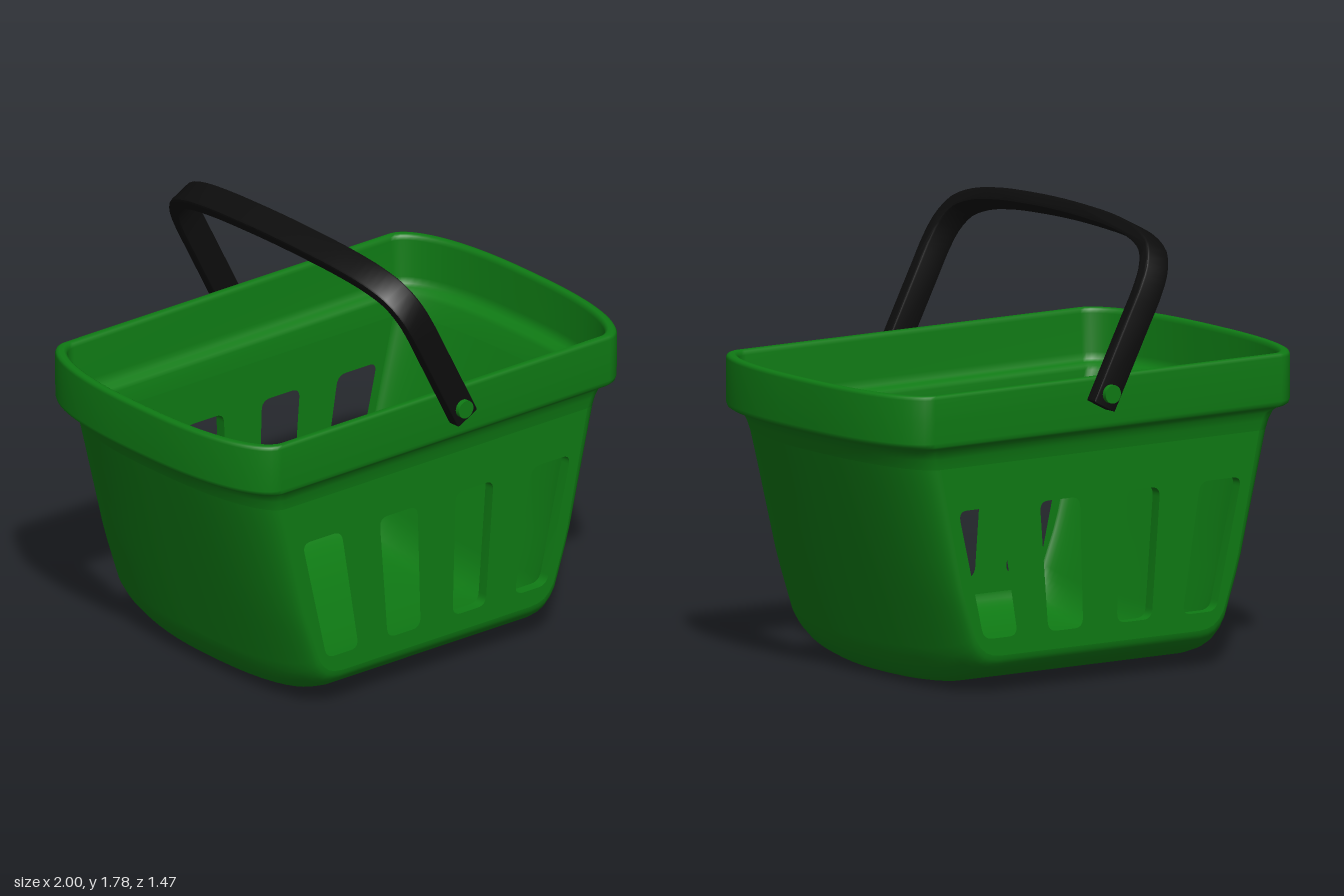
import * as THREE from 'three';
import { toCreasedNormals } from 'three/addons/utils/BufferGeometryUtils.js';

const green = new THREE.MeshStandardMaterial({ color: 0x0f7a14 });
const black = new THREE.MeshStandardMaterial({ color: 0x0d0d0d });

const HZ = 0.6, INNER_Z = 0.555, WALL = 0.04, INNER_BOW = 0.75, ARC = 28;

function mesh(name, geometry, material) {
  const m = new THREE.Mesh(geometry, material);
  m.name = name;
  return m;
}

// Smooth surface through rows of points; 'closed' joins each row's ends
function loft(rows, closed, flip) {
  const n = rows[0].length, index = [];
  for (let i = 0; i < rows.length - 1; i++) {
    for (let j = 0; j < (closed ? n : n - 1); j++) {
      const k = (j + 1) % n;
      const a = i * n + j, b = a + n, c = i * n + k, d = c + n;
      if (flip) index.push(a, c, b, b, c, d);
      else index.push(a, b, c, b, d, c);
    }
  }
  const g = new THREE.BufferGeometry();
  g.setAttribute('position', new THREE.Float32BufferAttribute(rows.flat(2), 3));
  g.setIndex(index);
  g.computeVertexNormals();
  return g;
}

// Bowed wall: position across the depth (-1..1) and how far the wall is drawn in (0..1)
const bow = Array.from({ length: ARC + 1 }, (_, i) => {
  const t = (i / ARC - 0.5) * Math.PI;
  return { z: Math.sign(t) * Math.abs(Math.sin(t)) ** 0.8, f: 1 - Math.cos(t) };
});

// U-shaped section of the tub: right wall, floor, left wall
function section() {
  const half = [];
  for (let i = 0; i <= 8; i++) {
    const s = i / 8;
    half.push([0.903 - 0.243 * s, 0.9 - 0.75 * s]);
  }
  half.push([0.645, 0.105], [0.62, 0.06], [0.59, 0.025], [0.56, 0.008], [0.52, 0], [0.4, 0], [0.2, 0]);
  return [...half, [0, 0], ...half.map(([x, y]) => [-x, y]).reverse()];
}

// Draw a section point inward by the bow amount and the wall thickness
function drawIn([x, y], amount, wall) {
  const dx = (wall + (0.05 + 0.11 * y) * amount) * Math.min(1, Math.abs(x) / 0.52);
  const dy = (wall + 0.15 * amount) * Math.max(0, 1 - y / 0.4);
  return [x - Math.sign(x) * dx, y + dy];
}

function tubShell(hz, strength, wall, flip) {
  const rows = section().map(p => bow.map(({ z, f }) => [...drawIn(p, f * strength, wall), z * hz]));
  return loft(rows, false, flip);
}

// Rounded-corner polygon for the slots
function roundedPath(pts, r) {
  const path = new THREE.Path();
  const v = pts.map(p => new THREE.Vector2(...p));
  v.forEach((p, i) => {
    const prev = v[(i + v.length - 1) % v.length], next = v[(i + 1) % v.length];
    const a = p.clone().add(prev.clone().sub(p).setLength(r));
    const b = p.clone().add(next.clone().sub(p).setLength(r));
    if (i === 0) path.moveTo(a.x, a.y);
    else path.lineTo(a.x, a.y);
    path.quadraticCurveTo(p.x, p.y, b.x, b.y);
  });
  path.closePath();
  return path;
}

// Flat side panel with four slanted slots
function panelGeometry() {
  const shape = new THREE.Shape(section().map(p => new THREE.Vector2(...drawIn(p, 1, 0))));
  for (const s of [-1, 1]) {
    shape.holes.push(
      roundedPath([[s * 0.08, 0.22], [s * 0.245, 0.22], [s * 0.285, 0.73], [s * 0.095, 0.73]], 0.04),
      roundedPath([[s * 0.39, 0.22], [s * 0.55, 0.22], [s * 0.67, 0.73], [s * 0.475, 0.73]], 0.04)
    );
  }
  const g = new THREE.ExtrudeGeometry(shape, { depth: HZ - INNER_Z, bevelEnabled: false, curveSegments: 6 });
  return toCreasedNormals(g.translate(0, 0, INNER_Z), 0.6);
}

// Rim: rings of [height, half width, half depth, corner inset], up the outside and down the inside
function rimGeometry() {
  const levels = [
    [0.9, 0.903, 0.6, 0.149], [0.94, 0.918, 0.606, 0.155], [0.97, 0.936, 0.616, 0.165],
    [0.985, 0.957, 0.63, 0.175], [0.992, 0.985, 0.645, 0.18], [1.0, 0.996, 0.651, 0.18],
    [1.015, 1.0, 0.654, 0.18], [1.1, 1.0, 0.656, 0.18], [1.185, 1.0, 0.656, 0.18],
    [1.196, 0.996, 0.652, 0.18], [1.2, 0.988, 0.645, 0.18], [1.2, 0.974, 0.63, 0.175],
    [1.195, 0.966, 0.622, 0.172], [1.18, 0.962, 0.618, 0.17], [1.03, 0.957, 0.61, 0.165],
    [1.005, 0.95, 0.603, 0.16], [0.995, 0.935, 0.59, 0.15], [0.985, 0.905, 0.568, 0.13],
    [0.97, 0.89, 0.56, 0.12], [0.9, 0.863, INNER_Z, 0.149 * INNER_BOW]
  ];
  const rows = levels.map(([y, hx, hz, inset]) => {
    const side = bow.map(({ z, f }) => [hx - inset * f, y, z * hz]);
    return [...side, ...side.map(([x, , z]) => [-x, y, -z])];
  });
  return loft(rows, true, false);
}

// Flat band bent over the basket, drawn with the pivot at the origin
function handleGeometry() {
  const leg = [[0.688, 0.3], [0.687, 0.42], [0.672, 0.505], [0.625, 0.578], [0.53, 0.622], [0.38, 0.648], [0.19, 0.66]];
  const pts = [...leg, [0, 0.664], ...leg.map(([z, h]) => [-z, h]).reverse()];
  const curve = new THREE.CatmullRomCurve3(pts.map(([z, h]) => new THREE.Vector3(z, h, 0)));
  const N = 56, T = 0.027, outer = [], inner = [];
  for (let i = 0; i <= N; i++) {
    const p = curve.getPointAt(i / N), t = curve.getTangentAt(i / N);
    outer.push(new THREE.Vector2(p.x + t.y * T, p.y - t.x * T));
    inner.push(new THREE.Vector2(p.x - t.y * T, p.y + t.x * T));
  }
  const foot = (x) => new THREE.Vector2(x, -0.055);
  const shape = new THREE.Shape([
    foot(0.688 + T), ...outer.map((p, i) => (p.length() > inner[i].length() ? p : inner[i])), foot(-0.688 - T),
    foot(-0.688 + T), ...inner.map((p, i) => (p.length() > outer[i].length() ? outer[i] : p)).reverse(), foot(0.688 - T)
  ]);
  const g = new THREE.ExtrudeGeometry(shape, {
    depth: 0.094, bevelThickness: 0.009, bevelSize: 0.009, bevelOffset: -0.009, bevelSegments: 2
  });
  g.translate(0, 0, -0.047).rotateY(-Math.PI / 2);
  return toCreasedNormals(g, 0.7);
}

export function createModel() {
  const model = new THREE.Group();
  model.name = 'shoppingBasket';

  // Tub
  const tub = new THREE.Group();
  tub.name = 'tub';
  tub.add(mesh('outerShell', tubShell(HZ, 1, 0, true), green));
  tub.add(mesh('innerShell', tubShell(INNER_Z, INNER_BOW, WALL, false), green));
  tub.add(mesh('rim', rimGeometry(), green));
  const panel = panelGeometry();
  const front = mesh('frontPanel', panel, green);
  const back = mesh('backPanel', panel, green);
  back.rotation.y = Math.PI;
  tub.add(front, back);
  model.add(tub);

  // Tilted handle
  const handle = mesh('handle', handleGeometry(), black);
  handle.position.set(0.035, 1.14, 0);
  handle.rotation.z = THREE.MathUtils.degToRad(27.5);
  model.add(handle);

  // Pivot pins
  for (const s of [1, -1]) {
    const pin = mesh(s > 0 ? 'frontPin' : 'backPin', new THREE.CylinderGeometry(0.036, 0.036, 0.1, 24), green);
    pin.rotation.x = Math.PI / 2;
    pin.position.set(0.035, 1.14, s * 0.685);
    model.add(pin);
  }
  return model;
}
